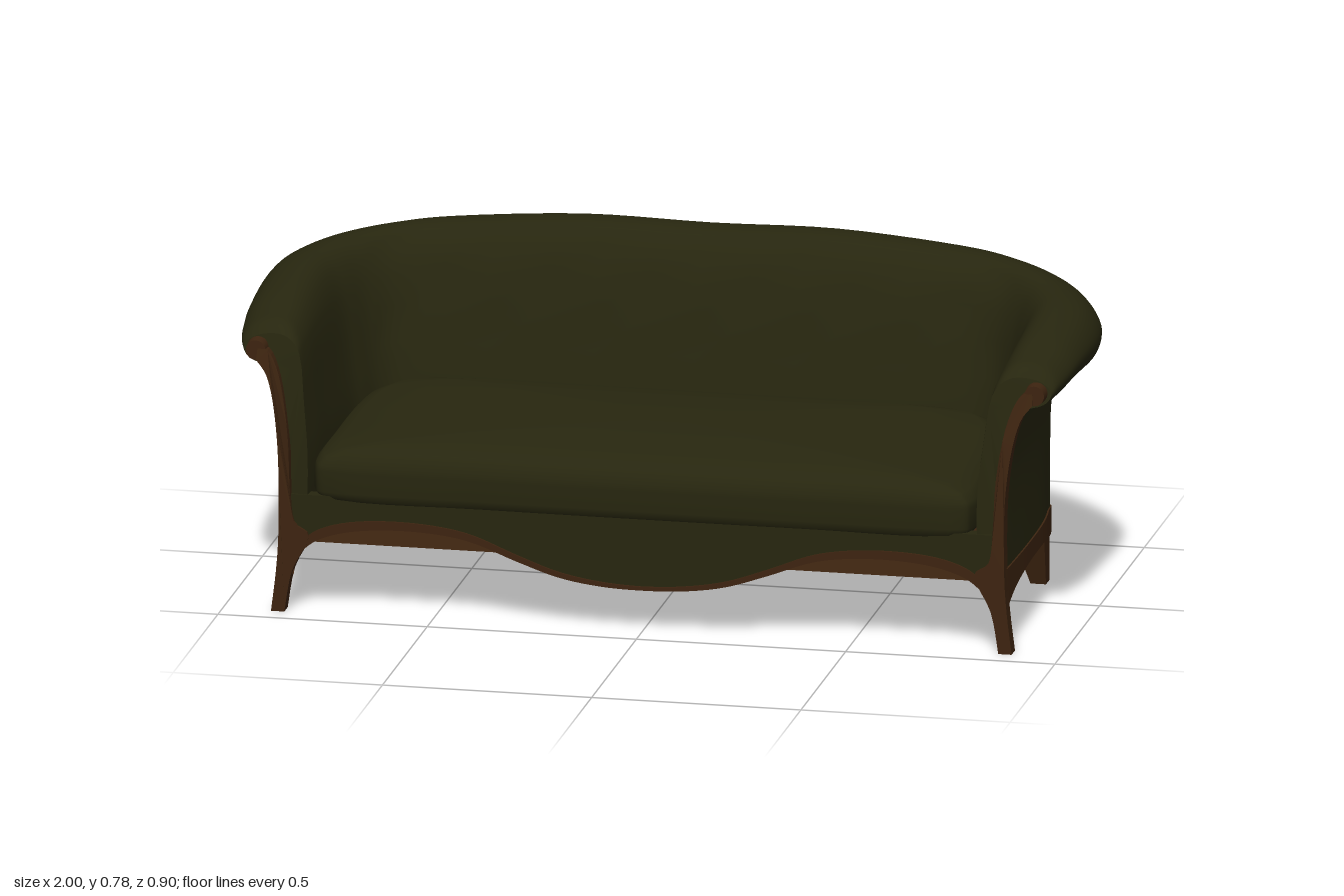
import * as THREE from 'three';

const fabric = new THREE.MeshStandardMaterial({ color: 0x27260f, side: THREE.DoubleSide });
fabric.name = 'olive fabric';
const wood = new THREE.MeshStandardMaterial({ color: 0x3d2410, side: THREE.DoubleSide });
wood.name = 'brown wood';

const V = (x, y, z) => new THREE.Vector3(x, y, z);
// the front edge leans back towards the top
const lean = (y) => 0.38 * Math.max(0, y - 0.3) ** 2;

// Half plan, from arm front to middle of the back:
// inner base x,z | roll outer edge x,z | outer base x,z | top y | roll underside y | rail bottom y | lean
const half = [
  [0.80, 0.435, 0.965, 0.412, 0.863, 0.43, 0.655, 0.585, 0.09, 1],
  [0.797, 0.40, 0.975, 0.385, 0.866, 0.39, 0.678, 0.586, 0.115, 0.9],
  [0.793, 0.33, 0.985, 0.31, 0.868, 0.32, 0.69, 0.588, 0.137, 0.5],
  [0.79, 0.2, 0.995, 0.18, 0.87, 0.19, 0.71, 0.59, 0.153, 0],
  [0.78, 0.04, 1.0, 0.0, 0.868, 0.03, 0.733, 0.575, 0.152, 0],
  [0.76, -0.03, 0.975, -0.12, 0.858, -0.08, 0.742, 0.56, 0.133, 0],
  [0.735, -0.085, 0.9, -0.235, 0.838, -0.165, 0.75, 0.545, 0.14, 0],
  [0.69, -0.12, 0.77, -0.35, 0.73, -0.203, 0.756, 0.538, 0.145, 0],
  [0.6, -0.13, 0.6, -0.43, 0.58, -0.228, 0.765, 0.536, 0.145, 0],
  [0.3, -0.135, 0.3, -0.452, 0.3, -0.235, 0.784, 0.535, 0.145, 0],
  [0, -0.135, 0, -0.455, 0, -0.235, 0.78, 0.535, 0.145, 0],
];
const mirrored = half.slice(0, -1).reverse().map((s) => s.map((v, i) => ([0, 2, 4].includes(i) ? -v : v)));
const plan = [...half, ...mirrored];

// Smooth interpolation between plan stations
function station(u) {
  const n = plan.length - 1;
  const i = Math.min(n - 1, Math.floor(u * n));
  const t = u * n - i;
  const at = (k) => plan[Math.max(0, Math.min(n, k))];
  return plan[0].map((_, c) => {
    const a = at(i - 1)[c], b = at(i)[c], d = at(i + 1)[c], e = at(i + 2)[c];
    return b + 0.5 * t * (d - a + t * (2 * a - 5 * b + 4 * d - e + t * (3 * (b - d) + e - a)));
  });
}

// Surface through rows of equally many points
function loft(rows, closed = false) {
  const w = rows[0].length, pos = [], idx = [];
  rows.forEach((r) => r.forEach((p) => pos.push(p.x, p.y, p.z)));
  for (let i = 0; i < rows.length - 1; i++) {
    for (let j = 0; j < (closed ? w : w - 1); j++) {
      const k = (j + 1) % w, a = i * w + j, b = i * w + k;
      idx.push(a, b, a + w, b, b + w, a + w);
    }
  }
  const g = new THREE.BufferGeometry();
  g.setAttribute('position', new THREE.Float32BufferAttribute(pos, 3));
  g.setIndex(idx);
  g.computeVertexNormals();
  return g;
}

// Cross-section of the upholstered back and arms, with a rolled top
function profile(u) {
  const [ix, iz, ex, ez, ox, oz, T, R, , w] = station(u);
  const H = T - R;
  const across = (t, y) => V(ix + (ex - ix) * t, y, iz + (ez - iz) * t);
  const inner = [[0, 0.25], [0, 0.38], [0.07, 0.5], [0.17, R + 0.4 * H], [0.28, R + 0.78 * H], [0.4, R + 0.95 * H]];
  const roll = [[0.54, 1], [0.7, 0.96], [0.84, 0.86], [0.95, 0.68], [1, 0.48], [0.96, 0.24], [0.86, 0.08], [0.72, 0]];
  const pts = [...inner.map(([t, y]) => across(t, y)), ...roll.map(([t, h]) => across(t, R + h * H))];
  const edge = across(0.6, R - 0.008);
  [[0, 0], [0.5, 0.05], [0.85, 0.13], [1, 0.24]].forEach(([f, d]) => {
    pts.push(V(edge.x + (ox - edge.x) * f, edge.y - d, edge.z + (oz - edge.z) * f));
  });
  pts.push(V(ox, 0.18, oz));
  const out = new THREE.CatmullRomCurve3(pts).getPoints(54);
  out.forEach((p, j) => {
    p.z -= w * lean(p.y);
    // shallow button dimples on the inside of the back
    if (j > 5 && j < 15 && u > 0.3 && u < 0.7) {
      p.z -= 0.005 * Math.max(0, Math.cos(p.x * 26) * Math.cos((p.y - 0.55) * 36));
    }
  });
  return out;
}

// Extruded outline in the front plane, from z0 to z1
function slab(points, z0, z1) {
  const g = new THREE.ExtrudeGeometry(new THREE.Shape(points), { depth: z1 - z0, bevelEnabled: false });
  g.translate(0, 0, z0);
  const p = g.attributes.position;
  for (let i = 0; i < p.count; i++) p.setZ(i, p.getZ(i) - lean(p.getY(i)));
  g.computeVertexNormals();
  return g;
}
const curve2 = (pts, n) => new THREE.SplineCurve(pts.map(([x, y]) => new THREE.Vector2(x, y))).getPoints(n);

export function createModel() {
  const model = new THREE.Group();
  model.name = 'sofa';
  const add = (name, geometry, material) => {
    const m = new THREE.Mesh(geometry, material);
    m.name = name;
    model.add(m);
    return m;
  };
  const us = Array.from({ length: 101 }, (_, i) => i / 100);

  // Rolled back and arms
  add('backAndArms', loft(us.map(profile)), fabric);

  // Wooden rail around the sides and back
  add('baseRail', loft(us.map((u) => {
    const s = station(u);
    const dir = V(s[0] - s[4], 0, s[1] - s[5]).normalize();
    const top = 0.2 - 0.012 * THREE.MathUtils.smoothstep(0.13 - s[5], 0.2, 0.36);
    return [[0, top], [-0.004, top], [-0.004, s[8]], [0.03, s[8]], [0.03, 0.18]]
      .map(([d, y]) => V(s[4] + dir.x * d, y, s[5] + dir.z * d));
  })).toNonIndexed(), wood);
  model.getObjectByName('baseRail').geometry.computeVertexNormals();

  // Underside board
  const floor = new THREE.ShapeGeometry(new THREE.Shape(us.map((u) => {
    const s = station(u);
    return new THREE.Vector2(s[4] * 0.985, -s[5] * 0.96);
  })));
  floor.rotateX(-Math.PI / 2);
  floor.translate(0, 0.165, 0);
  add('undersideBoard', floor, wood);

  // Seat cushion: shrinking rings over one plan outline
  const side = [[0.786, 0.2], [0.775, 0.03], [0.755, -0.06], [0.715, -0.115], [0.64, -0.135], [0.3, -0.14]];
  const corner = [[0.4, 0.447], [0.74, 0.443], [0.782, 0.425]];
  const right = [...corner, ...side];
  const outline = [...right, ...right.map(([x, z]) => [-x, z]).reverse()];
  const plan3 = new THREE.CatmullRomCurve3(outline.map(([x, z]) => V(x, 0, z)), true).getPoints(90).slice(0, -1);
  const rings = [[0, 0.27], [0.95, 0.27], [0.985, 0.278], [1, 0.295], [1, 0.345], [0.995, 0.375], [0.975, 0.395],
    [0.93, 0.41], [0.8, 0.425], [0.55, 0.436], [0.25, 0.441], [0, 0.442]];
  add('seatCushion', loft(rings.map(([k, y], i) => plan3.map((p) => {
    const z = 0.155 + (p.z - 0.155) * k;
    return V(p.x * k, y + (i > 4 ? 0.06 * (0.155 - z) : 0), z);
  })), true), fabric);

  // Serpentine front apron with a wooden lower edge
  const wave = [[0.845, 0.1], [0.82, 0.14], [0.77, 0.18], [0.68, 0.205], [0.55, 0.212], [0.42, 0.198],
    [0.3, 0.155], [0.2, 0.122], [0.1, 0.106], [0, 0.102]];
  const edge = curve2([...wave, ...wave.slice(0, -1).reverse().map(([x, y]) => [-x, y])], 90);
  add('frontApron', slab([...edge, new THREE.Vector2(-0.86, 0.285), new THREE.Vector2(0.86, 0.285)], 0.405, 0.438), fabric);
  const upper = edge.map((p) => new THREE.Vector2(p.x, p.y + 0.009 + 0.02 * Math.abs(p.x))).reverse();
  add('apronTrim', slab([...edge, ...upper], 0.403, 0.443), wood);

  const outer = [[0.885, 0], [0.873, 0.1], [0.867, 0.2], [0.868, 0.36], [0.88, 0.48], [0.9, 0.56], [0.928, 0.598]];
  const inner = [[0.925, 0.632], [0.893, 0.612], [0.865, 0.54], [0.846, 0.42], [0.84, 0.3], [0.83, 0.22], [0.795, 0.185], [0.835, 0.1], [0.853, 0]];
  for (const sx of [1, -1]) {
    const name = sx > 0 ? 'left' : 'right';
    const flip = (pts) => pts.map((p) => new THREE.Vector2(p.x * sx, p.y));

    // Front leg running up the arm front
    add(name + 'FrontLegAndArmPost', slab(flip([...curve2(outer, 24), ...curve2(inner, 32)]), 0.407, 0.445), wood);

    // Upholstered arm front
    const end = profile(0);
    const tris = THREE.ShapeUtils.triangulateShape(end.map((p) => new THREE.Vector2(p.x, p.y)), []);
    const cap = new THREE.BufferGeometry().setFromPoints(end.map((p) => V(p.x * sx, p.y, p.z)));
    cap.setIndex(tris.flatMap(([a, b, c]) => (sx > 0 ? [a, b, c] : [a, c, b])));
    cap.computeVertexNormals();
    add(name + 'ArmFront', cap, fabric);

    // Scroll boss on the rolled arm
    const boss = new THREE.CylinderGeometry(0.024, 0.026, 0.03, 20);
    boss.rotateX(Math.PI / 2);
    boss.translate(0.93 * sx, 0.62, 0.39);
    add(name + 'ArmScroll', boss, wood);

    // Tapered back leg
    const leg = new THREE.BoxGeometry(1, 1, 1);
    const p = leg.attributes.position;
    for (let i = 0; i < p.count; i++) {
      const top = p.getY(i) > 0, out = p.getX(i) > 0, back = p.getZ(i) < 0;
      const x = top ? (out ? 0.845 : 0.755) : (out ? 0.84 : 0.803);
      const z = top ? (back ? (out ? -0.168 : -0.196) : -0.1) : (back ? -0.19 : -0.15);
      p.setXYZ(i, x * sx, top ? 0.165 : 0, z);
    }
    if (sx < 0) leg.setIndex(Array.from(leg.index.array).reverse());
    const flat = leg.toNonIndexed();
    flat.computeVertexNormals();
    add(name + 'BackLeg', flat, wood);
  }
  return model;
}
